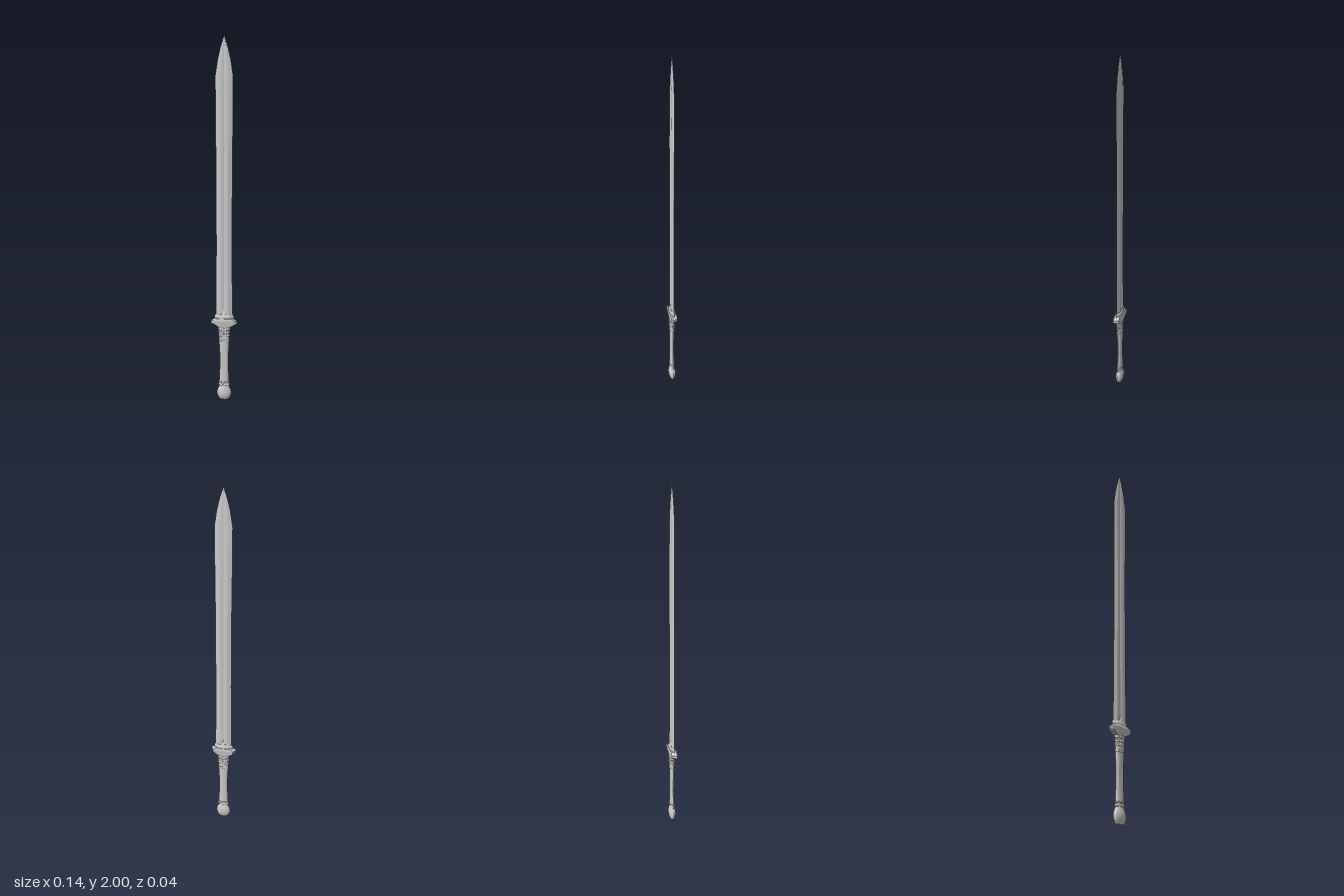
import * as THREE from 'three';
import { toCreasedNormals } from 'three/addons/utils/BufferGeometryUtils.js';

const material = new THREE.MeshStandardMaterial({ color: 0xcccccc });

// Stack scaled copies of a unit outline [x, z]; each level is [y, halfWidth, halfDepth]
function loft(name, outline, levels, crease) {
  const n = outline.length;
  const positions = [];
  const index = [];
  for (const [y, w, d] of levels)
    for (const [x, z] of outline) positions.push(x * w, y, z * d);
  const bottom = positions.length / 3;
  const top = bottom + 1;
  positions.push(0, levels[0][0], 0, 0, levels[levels.length - 1][0], 0);
  for (let k = 0; k < levels.length - 1; k++) {
    for (let i = 0; i < n; i++) {
      const a = k * n + i;
      const b = k * n + (i + 1) % n;
      index.push(a, a + n, b, b, a + n, b + n);
    }
  }
  const last = (levels.length - 1) * n;
  for (let i = 0; i < n; i++) {
    const j = (i + 1) % n;
    index.push(bottom, i, j, top, last + j, last + i);
  }
  const geometry = new THREE.BufferGeometry();
  geometry.setAttribute('position', new THREE.Float32BufferAttribute(positions, 3));
  geometry.setIndex(index);
  const mesh = new THREE.Mesh(toCreasedNormals(geometry, crease), material);
  mesh.name = name;
  return mesh;
}

// Mirror a quarter outline, running from +x to +z, into a full loop
function mirrored(quarter) {
  const half = [...quarter, ...quarter.map(([x, z]) => [-x, z]).reverse()]
    .filter(([x, z], i, all) => i === 0 || x !== all[i - 1][0] || z !== all[i - 1][1]);
  const back = half.slice(1, -1).map(([x, z]) => [x, -z]).reverse();
  return [...half, ...back];
}

function ellipse(sides) {
  return Array.from({ length: sides }, (_, i) => {
    const a = (i / sides) * Math.PI * 2;
    return [Math.cos(a), Math.sin(a)];
  });
}

export function createModel() {
  const sword = new THREE.Group();
  sword.name = 'sword';
  const round = ellipse(16);
  const sharp = 0.1;
  const soft = 0.7;

  // Blade: bevelled edges and a shallow groove down the middle
  const bladeOutline = mirrored([[1, 0], [0.5, 1], [0.2, 0.9], [0, 0.6]]);
  sword.add(loft('blade', bladeOutline, [
    [0.48, 0.045, 0.009], [0.9, 0.042, 0.008], [1.3, 0.042, 0.008], [1.55, 0.044, 0.008],
    [1.8, 0.045, 0.006], [1.88, 0.033, 0.005], [1.94, 0.019, 0.003], [2, 0.0005, 0.0005],
  ], sharp));

  // Collar and pointed langet at the foot of the blade
  const collarOutline = mirrored([[1, 0], [0.45, 0.85], [0, 1]]);
  sword.add(loft('bladeCollar', collarOutline, [
    [0.485, 0.053, 0.017], [0.505, 0.053, 0.017], [0.515, 0.047, 0.013],
  ], sharp));
  sword.add(loft('langet', mirrored([[1, 0], [0.7, 0.8], [0, 1]]), [
    [0.5, 0.026, 0.016], [0.52, 0.017, 0.013], [0.545, 0.001, 0.006],
  ], sharp));

  // Crossguard with clipped corners
  const guardOutline = mirrored([[1, 0.5], [0.8, 0.88], [0.25, 1], [0, 1]]);
  sword.add(loft('guard', guardOutline, [
    [0.44, 0.034, 0.015], [0.463, 0.07, 0.018], [0.481, 0.071, 0.02], [0.493, 0.05, 0.018],
  ], sharp));

  // Grip, waisted in the middle
  sword.add(loft('grip', round, [
    [0.085, 0.029, 0.014], [0.13, 0.027, 0.013], [0.2, 0.024, 0.012], [0.27, 0.024, 0.012],
    [0.33, 0.027, 0.013], [0.36, 0.029, 0.014], [0.44, 0.031, 0.015],
  ], soft));

  // Raised rings at both ends of the grip
  const rings = [
    [0.091, 0.032, 0.015, 0.007], [0.106, 0.031, 0.015, 0.005], [0.36, 0.03, 0.016, 0.007],
    [0.391, 0.032, 0.017, 0.007], [0.411, 0.033, 0.017, 0.007], [0.431, 0.034, 0.018, 0.007],
  ];
  for (const [y, w, d, h] of rings) {
    sword.add(loft('gripRing', round, [
      [y - h, w - 0.003, d - 0.003], [y - h * 0.5, w, d],
      [y + h * 0.5, w, d], [y + h, w - 0.003, d - 0.003],
    ], soft));
  }

  // Pommel: flattened bulb with a flat foot
  sword.add(loft('pommel', round, [
    [0, 0.025, 0.012], [0.01, 0.033, 0.016], [0.025, 0.039, 0.019], [0.04, 0.041, 0.021],
    [0.057, 0.038, 0.019], [0.072, 0.031, 0.016], [0.084, 0.027, 0.013],
  ], soft));

  return sword;
}
